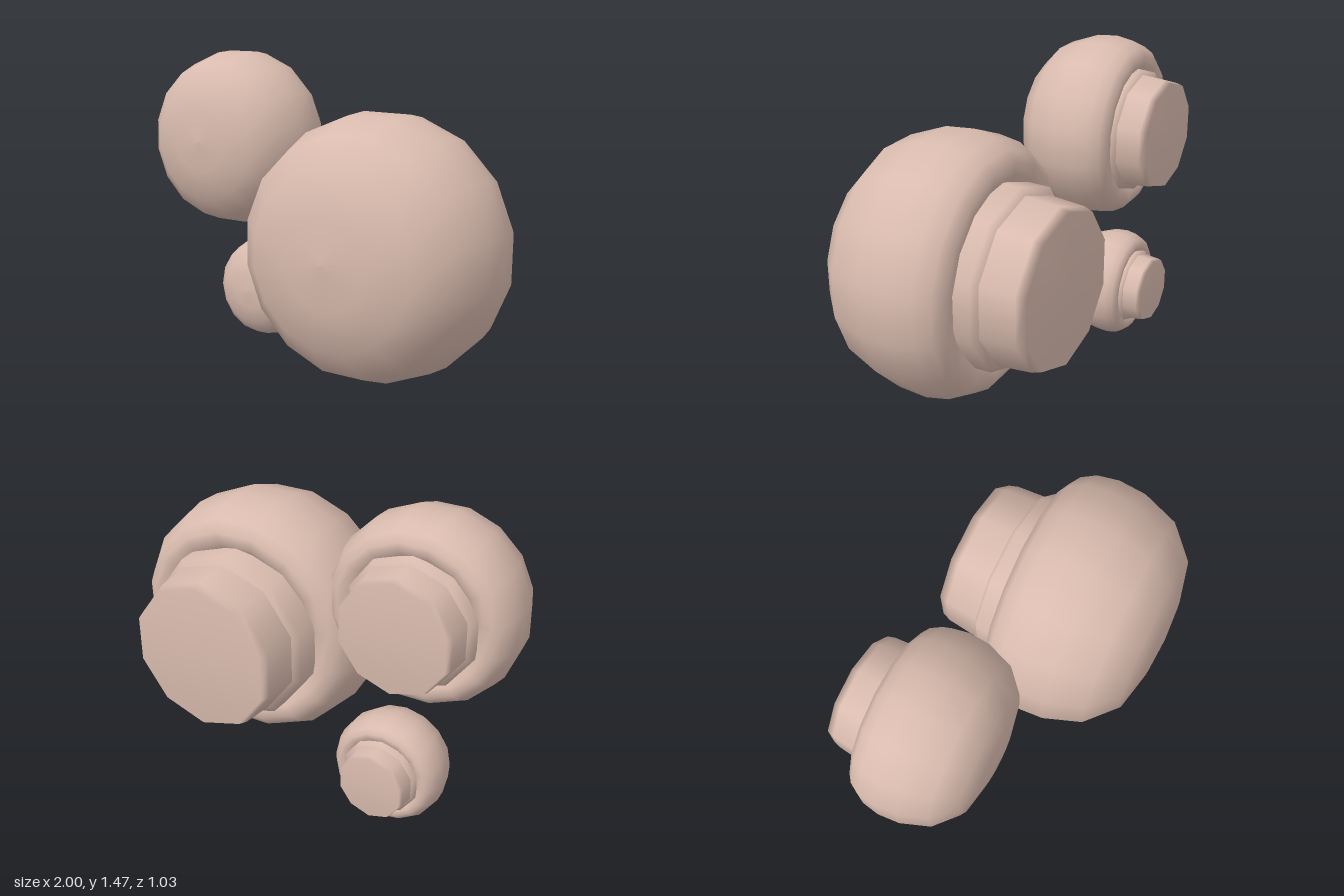
import * as THREE from 'three';

const clay = new THREE.MeshStandardMaterial({ color: 0xd9bbae });
clay.name = 'dusty pink';

// Profiles as [radius, z], listed from back to front
const CAP = [
  [0.34, -0.12], [0.39, -0.17], [0.44, -0.205], [0.495, -0.208], [0.545, -0.17], [0.585, -0.1],
  [0.605, 0.01], [0.595, 0.15], [0.53, 0.33], [0.395, 0.455], [0.2, 0.5], [0, 0.515],
];

// Lathe whose axis points along +z
function lathe(profile, sides, start, name) {
  const points = profile.map(([r, z]) => new THREE.Vector2(r, z));
  const geometry = new THREE.LatheGeometry(points, sides, THREE.MathUtils.degToRad(start));
  geometry.rotateX(Math.PI / 2);
  const mesh = new THREE.Mesh(geometry, clay);
  mesh.name = name;
  return mesh;
}

// One mushroom growing forward from the flat back plane
function mushroom({ name, x, y, z, size, turn, tilt, collarBack }) {
  const group = new THREE.Group();
  group.name = name;
  group.position.set(x, y, 0);

  const cap = lathe(CAP, 16, turn, 'cap');
  cap.scale.setScalar(size);
  cap.position.z = z;
  cap.rotation.y = THREE.MathUtils.degToRad(tilt);

  const back = -0.515;
  const stem = lathe([
    [0, back], [0.355 * size, back], [0.37 * size, back + 0.045 * size],
    [0.385 * size, collarBack], [0.385 * size, z],
  ], 10, 0, 'stem');

  // Short ring where the stem meets the cap
  const collar = lathe([
    [0.37 * size, collarBack - 0.015 * size], [0.42 * size, collarBack + 0.015 * size],
    [0.425 * size, z - 0.08 * size],
  ], 10, 0, 'collar');

  group.add(cap, stem, collar);
  return group;
}

export function createModel() {
  const model = new THREE.Group();
  model.name = 'mushroomCluster';
  const specs = [
    { name: 'largeMushroom', x: 0.405, y: 0.634, z: 0, size: 1, turn: 10.3, tilt: 2, collarBack: -0.3 },
    { name: 'mediumMushroom', x: -0.575, y: 1.042, z: -0.204, size: 0.717, turn: 10.5, tilt: 2, collarBack: -0.367 },
    { name: 'smallMushroom', x: -0.49, y: 0.262, z: -0.325, size: 0.43, turn: 1, tilt: 1, collarBack: -0.425 },
  ];
  for (const spec of specs) model.add(mushroom(spec));
  return model;
}
